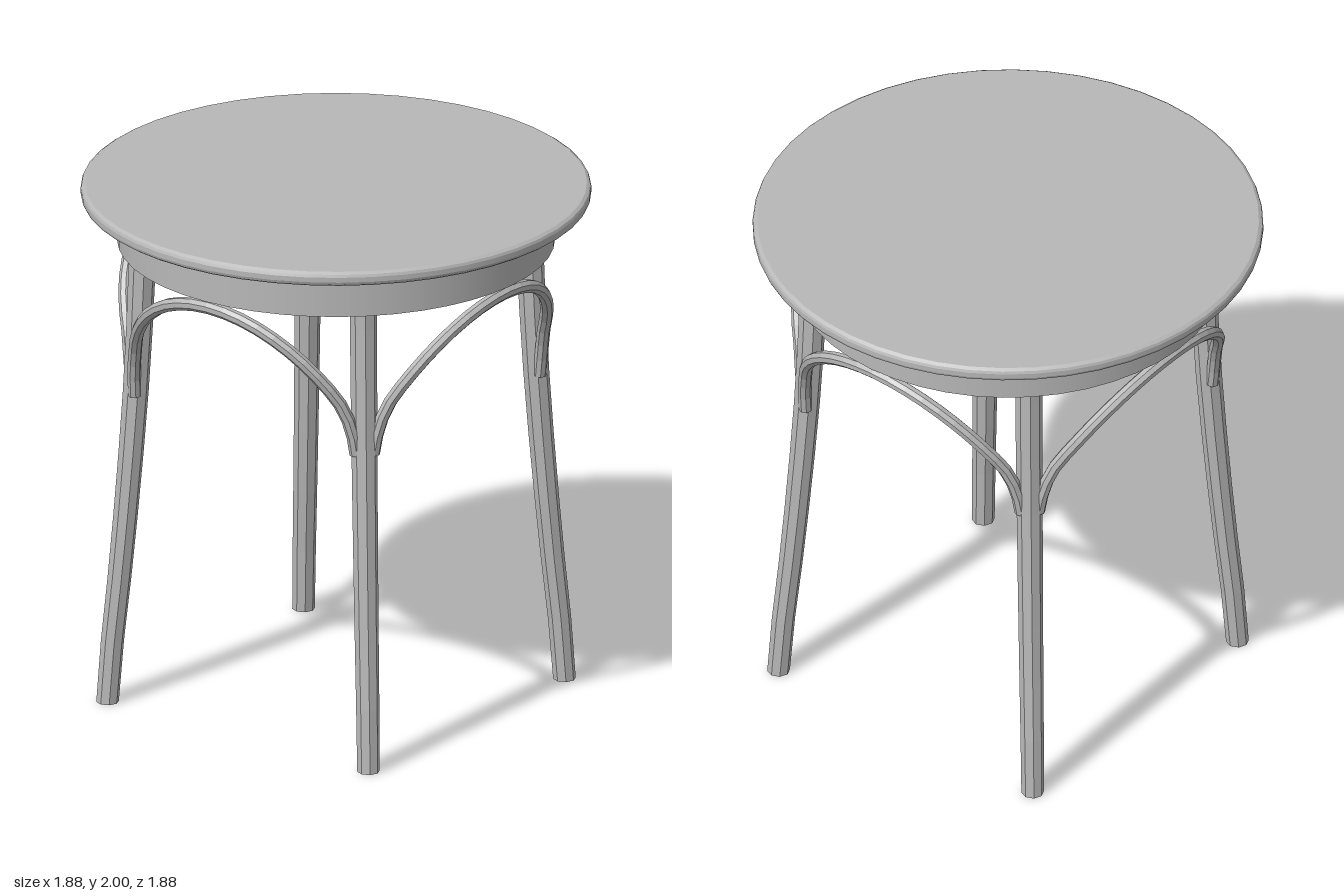
import * as THREE from 'three';
import { mergeGeometries } from 'three/addons/utils/BufferGeometryUtils.js';

const V = (x, y) => new THREE.Vector2(x, y);

// Gives every facet its own flat normal
function faceted(geometry) {
  const flat = geometry.toNonIndexed();
  flat.computeVertexNormals();
  return flat;
}

// Tapered eight-sided leg, gently bowed outwards towards the floor
function legGeometry() {
  const height = 1.95;
  const geo = new THREE.CylinderGeometry(0.052, 0.042, height, 8, 8);
  geo.translate(0, height / 2, 0);
  const bow = new THREE.SplineCurve([V(0, 0.85), V(0.65, 0.79), V(1.3, 0.74), V(1.95, 0.715)]);
  const pos = geo.attributes.position;
  for (let i = 0; i < pos.count; i++) {
    const t = THREE.MathUtils.clamp(pos.getY(i) / height, 0, 1);
    pos.setX(i, pos.getX(i) + bow.getPoint(t).y);
  }
  return faceted(geo);
}

// Bent brace: rises from one leg, leans out to the apron and returns to the next leg
function braceGeometry() {
  const points = [];
  for (let i = 0; i <= 16; i++) {
    const a = Math.PI * (1 - i / 16);
    const y = 1.215 + 0.53 * Math.sin(a);
    const z = y < 1.38 ? 0.555 + (y - 1.215) * 0.17 : 0.583 + (y - 1.38) * 0.54;
    points.push(new THREE.Vector3(0.51 * Math.cos(a), y, z));
  }
  const curve = new THREE.CatmullRomCurve3(points);
  const radius = 0.025;
  const caps = [0, 1].map((t) => {
    const outward = curve.getTangent(t).multiplyScalar(t ? 1 : -1);
    const turn = new THREE.Quaternion().setFromUnitVectors(new THREE.Vector3(0, 0, 1), outward);
    const p = curve.getPoint(t);
    return new THREE.CircleGeometry(radius, 8).applyQuaternion(turn).translate(p.x, p.y, p.z);
  });
  return faceted(mergeGeometries([new THREE.TubeGeometry(curve, 24, radius, 8, false), ...caps]));
}

// Each profile segment is turned on its own so that the edges stay crisp
function latheGeometry(corners) {
  return mergeGeometries(
    corners.slice(1).map((c, i) => new THREE.LatheGeometry([corners[i], c], 48)),
  );
}

export function createModel() {
  const table = new THREE.Group();
  table.name = 'roundTable';
  const grey = new THREE.MeshStandardMaterial({ color: 0xb8b8b8 });
  grey.name = 'grey';

  const add = (name, geometry, turn = 0) => {
    const mesh = new THREE.Mesh(geometry, grey);
    mesh.name = name;
    mesh.rotation.y = turn;
    table.add(mesh);
  };

  // Disc top with a softened rim
  add('tableTop', latheGeometry([
    V(0, 1.945), V(0.925, 1.945), V(0.937, 1.953), V(0.941, 1.963),
    V(0.941, 1.982), V(0.937, 1.992), V(0.925, 2), V(0, 2),
  ]));

  // Open ring below the top
  add('apron', latheGeometry([
    V(0.785, 1.95), V(0.785, 1.777), V(0.807, 1.777), V(0.807, 1.95),
  ]));

  // Four legs on the diagonals, a brace between each pair
  const leg = legGeometry();
  const brace = braceGeometry();
  for (let i = 0; i < 4; i++) {
    const turn = (i * Math.PI) / 2;
    add('leg', leg, turn + Math.PI / 4);
    add('archBrace', brace, turn);
  }
  return table;
}
